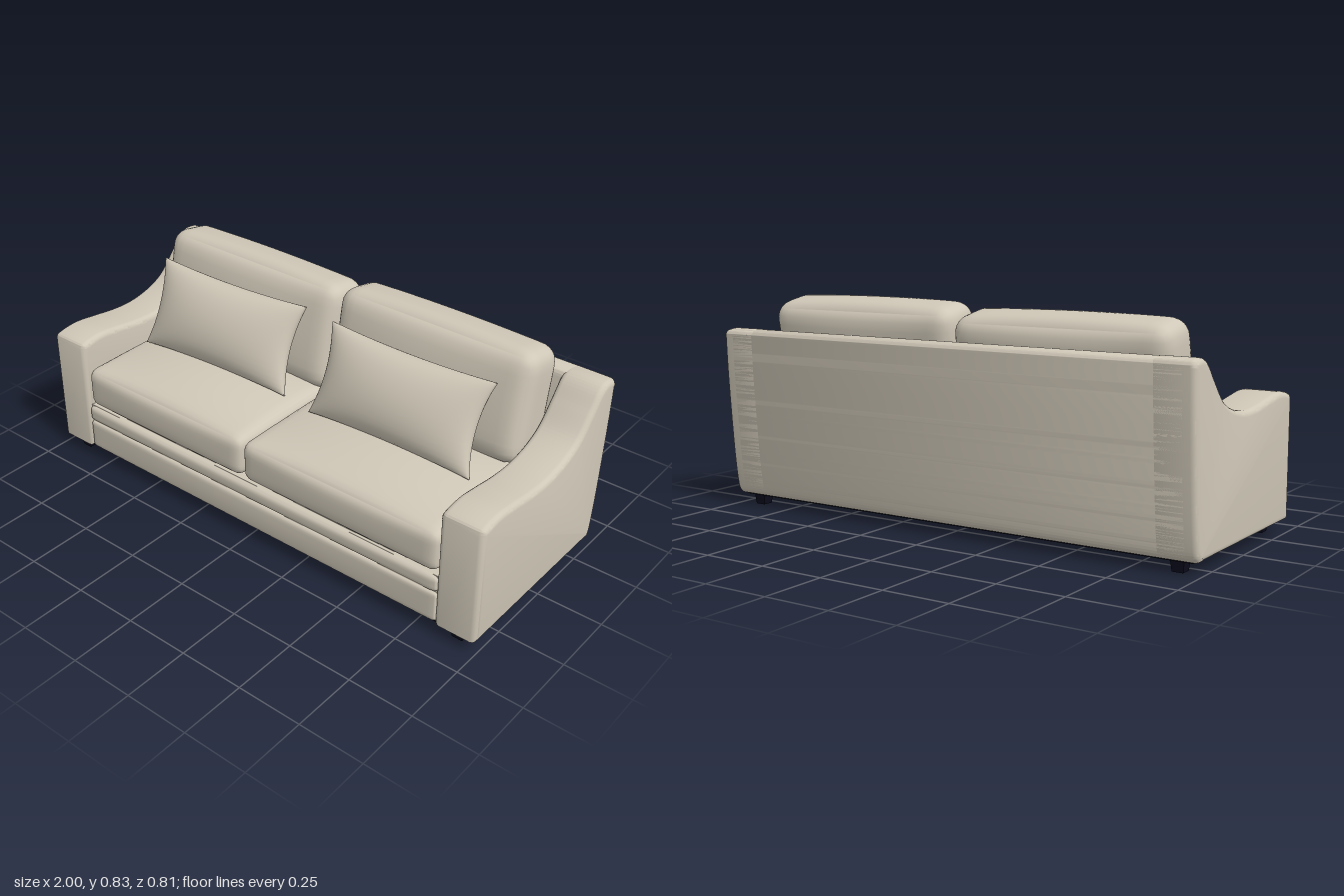
import * as THREE from 'three';
import { mergeVertices, toCreasedNormals } from 'three/addons/utils/BufferGeometryUtils.js';

const fabric = new THREE.MeshStandardMaterial({ color: 0xcfc7b7 });
fabric.name = 'beige fabric';
const dark = new THREE.MeshStandardMaterial({ color: 0x0b0b1c });
dark.name = 'dark base';

// Subdivided box whose vertices are moved by rule(a, b, c), each in -1..1, then smoothed
function softGeometry(nx, ny, nz, rule) {
  let g = new THREE.BoxGeometry(2, 2, 2, nx, ny, nz);
  g.deleteAttribute('uv');
  g.deleteAttribute('normal');
  g = mergeVertices(g);
  const p = g.attributes.position;
  const ease = t => Math.sin(t * Math.PI / 2); // denser rows near the edges
  for (let i = 0; i < p.count; i++) {
    const v = rule(ease(p.getX(i)), ease(p.getY(i)), ease(p.getZ(i)));
    p.setXYZ(i, v.x, v.y, v.z);
  }
  g.computeVertexNormals();
  return g;
}

// Rounded block that swells outward on each axis by the puff amounts
function cushionGeometry(w, h, d, r, puff) {
  const half = new THREE.Vector3(w / 2, h / 2, d / 2);
  const core = half.clone().subScalar(r);
  return softGeometry(24, 14, 18, (a, b, c) => {
    const v = new THREE.Vector3(a, b, c).multiply(half);
    const inner = v.clone().clamp(core.clone().negate(), core);
    const out = v.sub(inner);
    if (out.lengthSq() > 1e-10) out.setLength(r);
    const [A, B, C] = [1 - a * a, 1 - b * b, 1 - c * c];
    return inner.add(out).add(new THREE.Vector3(
      a * puff[0] * B * C, b * puff[1] * A * C, c * puff[2] * A * B));
  });
}

// Thin-edged pillow with pinched sides and pointed corners
function pillowGeometry(w, h, d) {
  return softGeometry(26, 18, 1, (a, b, c) => {
    const A = 1 - a * a, B = 1 - b * b;
    return new THREE.Vector3(
      a * w / 2 * (1 - 0.09 * B),
      b * h / 2 * (1 - 0.08 * A),
      c * (0.004 + d / 2 * Math.pow(A * B, 0.5)));
  });
}

// Side profile, written as [z, y] corners, extruded along x with soft edges
function profileGeometry(shape, x0, x1, bevel) {
  const g = new THREE.ExtrudeGeometry(shape, {
    depth: x1 - x0 - 2 * bevel, bevelEnabled: true, bevelSize: bevel,
    bevelThickness: bevel, bevelOffset: -bevel, bevelSegments: 4, curveSegments: 40,
  });
  g.rotateY(Math.PI / 2);
  g.translate(x0 + bevel, 0, 0);
  return toCreasedNormals(g, 0.7);
}
const points = list => list.map(([z, y]) => new THREE.Vector2(-z, y));

export function createModel() {
  const model = new THREE.Group();
  model.name = 'sofa';
  const add = (name, geometry, material, x = 0, y = 0, z = 0) => {
    const m = new THREE.Mesh(geometry, material);
    m.name = name;
    m.position.set(x, y, z);
    model.add(m);
    return m;
  };

  // Sloping arms
  const armShape = new THREE.Shape();
  armShape.moveTo(-0.4, 0.045);
  armShape.lineTo(-0.4, 0.485);
  armShape.splineThru(points([[0.385, 0.508], [0.3, 0.52], [0.2, 0.509], [0.1, 0.495],
    [0, 0.492], [-0.1, 0.51], [-0.18, 0.548], [-0.25, 0.62], [-0.3, 0.677],
    [-0.34, 0.698], [-0.39, 0.694], [-0.404, 0.68]]));
  armShape.splineThru(points([[-0.396, 0.5], [-0.375, 0.22], [-0.357, 0.08], [-0.34, 0.045]]));
  for (const [name, x0] of [['leftArm', 0.832], ['rightArm', -1]])
    add(name, profileGeometry(armShape, x0, x0 + 0.168, 0.022), fabric);

  // Back frame between the arms
  const backShape = new THREE.Shape();
  backShape.moveTo(0.3, 0.045);
  backShape.lineTo(0.32, 0.67);
  backShape.splineThru(points([[-0.326, 0.69], [-0.35, 0.698], [-0.39, 0.694], [-0.404, 0.68]]));
  backShape.splineThru(points([[-0.396, 0.5], [-0.375, 0.22], [-0.357, 0.08], [-0.34, 0.045]]));
  add('backFrame', profileGeometry(backShape, -0.97, 0.97, 0.018), fabric);

  // Seat deck with two padded front rails
  add('seatDeck', new THREE.BoxGeometry(1.7, 0.19, 0.72), fabric, 0, 0.142, 0.025);
  add('lowerRail', cushionGeometry(1.67, 0.122, 0.06, 0.015, [0, 0, 0.005]), fabric, 0, 0.108, 0.37);
  add('upperRail', cushionGeometry(1.67, 0.066, 0.06, 0.02, [0, 0, 0.004]), fabric, 0, 0.204, 0.372);

  // Seat cushions
  for (const [name, x0, x1] of [['rightSeatCushion', -0.83, -0.029], ['leftSeatCushion', -0.027, 0.83]])
    add(name, cushionGeometry(x1 - x0, 0.165, 0.56, 0.04, [0, 0.045, 0.008]), fabric,
      (x0 + x1) / 2, 0.325, 0.119);

  // Back cushions, leaning on the frame
  for (const [name, x0, x1, top] of [['rightBackCushion', -0.86, -0.006, 0.805], ['leftBackCushion', 0, 0.83, 0.825]]) {
    const c = add(name, cushionGeometry(x1 - x0, 0.42, 0.21, 0.065, [0, 0.012, 0.025]), fabric,
      (x0 + x1) / 2, top - 0.217, -0.183);
    c.rotation.x = -0.19;
  }

  // Throw pillows
  for (const [name, x, w, yaw] of [['rightPillow', -0.43, 0.69, 0.05], ['leftPillow', 0.4, 0.69, 0.02]]) {
    const p = add(name, pillowGeometry(w, 0.345, 0.17), fabric, x, 0.587, 0.036);
    p.rotation.set(-0.42, yaw, 0, 'YXZ');
  }

  // Dark underside and feet
  add('underside', new THREE.BoxGeometry(1.94, 0.009, 0.71), dark, 0, 0.043, 0.027);
  const footGeometry = new THREE.CylinderGeometry(0.036, 0.029, 0.045, 4).toNonIndexed();
  footGeometry.rotateY(Math.PI / 4);
  footGeometry.computeVertexNormals();
  for (const x of [-0.91, 0.91])
    for (const z of [0.348, -0.298])
      add('foot', footGeometry, dark, x, 0.0225, z);

  return model;
}
